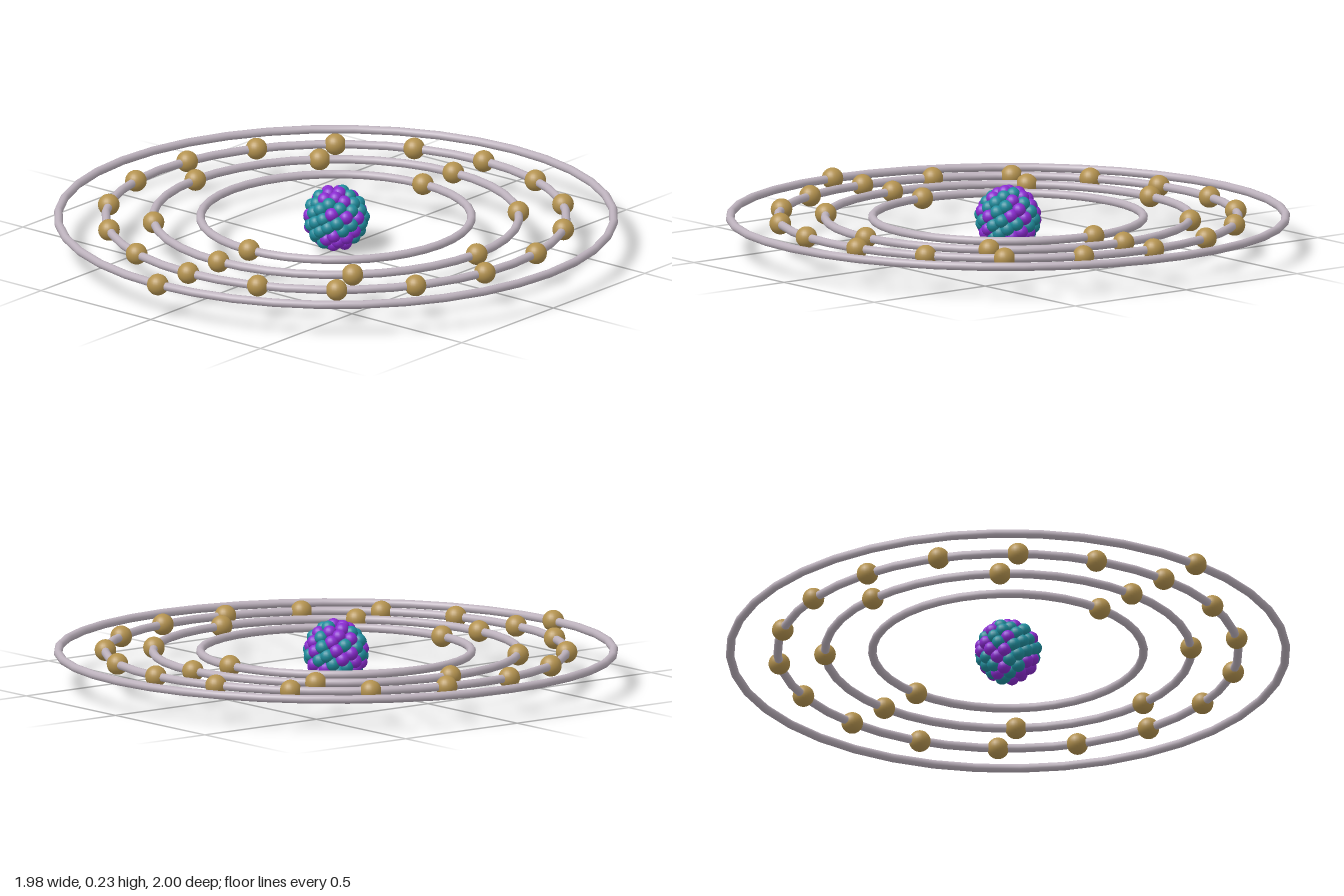
import * as THREE from 'three';

const material = (color) => new THREE.MeshStandardMaterial({ color });

export function createModel() {
  const model = new THREE.Group();
  model.name = 'atom';
  const midY = 0.122, midZ = -0.012;

  const ringMat = material(0xbdb2bd);
  const electronMat = material(0xb3924f);
  const protonMat = material(0x8a2bd0);
  const neutronMat = material(0x1f8c9c);

  // Flat electron shells: ring radius and number of electrons on it
  const shells = [[0.475, 2], [0.641, 8], [0.807, 18], [0.9735, 1]];
  const electronGeo = new THREE.SphereGeometry(0.038, 24, 16);
  shells.forEach(([radius, count], i) => {
    const shell = new THREE.Group();
    shell.name = `shell${i + 1}`;
    const ring = new THREE.Mesh(new THREE.TorusGeometry(radius, 0.015, 12, 40), ringMat);
    ring.rotation.x = Math.PI / 2;
    ring.name = 'orbitRing';
    shell.add(ring);
    // Evenly spaced electrons, the first one at the front
    for (let k = 0; k < count; k++) {
      const a = (k / count) * Math.PI * 2;
      const electron = new THREE.Mesh(electronGeo, electronMat);
      electron.position.set(Math.sin(a) * radius, 0, Math.cos(a) * radius);
      electron.name = 'electron';
      shell.add(electron);
    }
    shell.position.set(0, midY, midZ);
    model.add(shell);
  });

  // Nucleus: small balls packed over a sphere, two kinds mixed
  const nucleus = new THREE.Group();
  nucleus.name = 'nucleus';
  let seed = 11;
  const random = () => (seed = (seed * 16807) % 2147483647) / 2147483647;
  for (let k = 0; k < 10; k++) random();
  const nucleonGeo = new THREE.SphereGeometry(0.0245, 16, 12);
  const total = 84, packRadius = 0.093;
  for (let k = 0; k < total; k++) {
    const y = 1 - (2 * k + 1) / total;
    const r = Math.sqrt(1 - y * y);
    const a = k * Math.PI * (3 - Math.sqrt(5));
    const isProton = random() < 0.5;
    const ball = new THREE.Mesh(nucleonGeo, isProton ? protonMat : neutronMat);
    ball.name = isProton ? 'proton' : 'neutron';
    ball.position.set(Math.cos(a) * r, y, Math.sin(a) * r)
      .multiplyScalar(packRadius + (random() - 0.5) * 0.006);
    nucleus.add(ball);
  }
  nucleus.position.set(0, 0.119, midZ);
  model.add(nucleus);
  return model;
}
